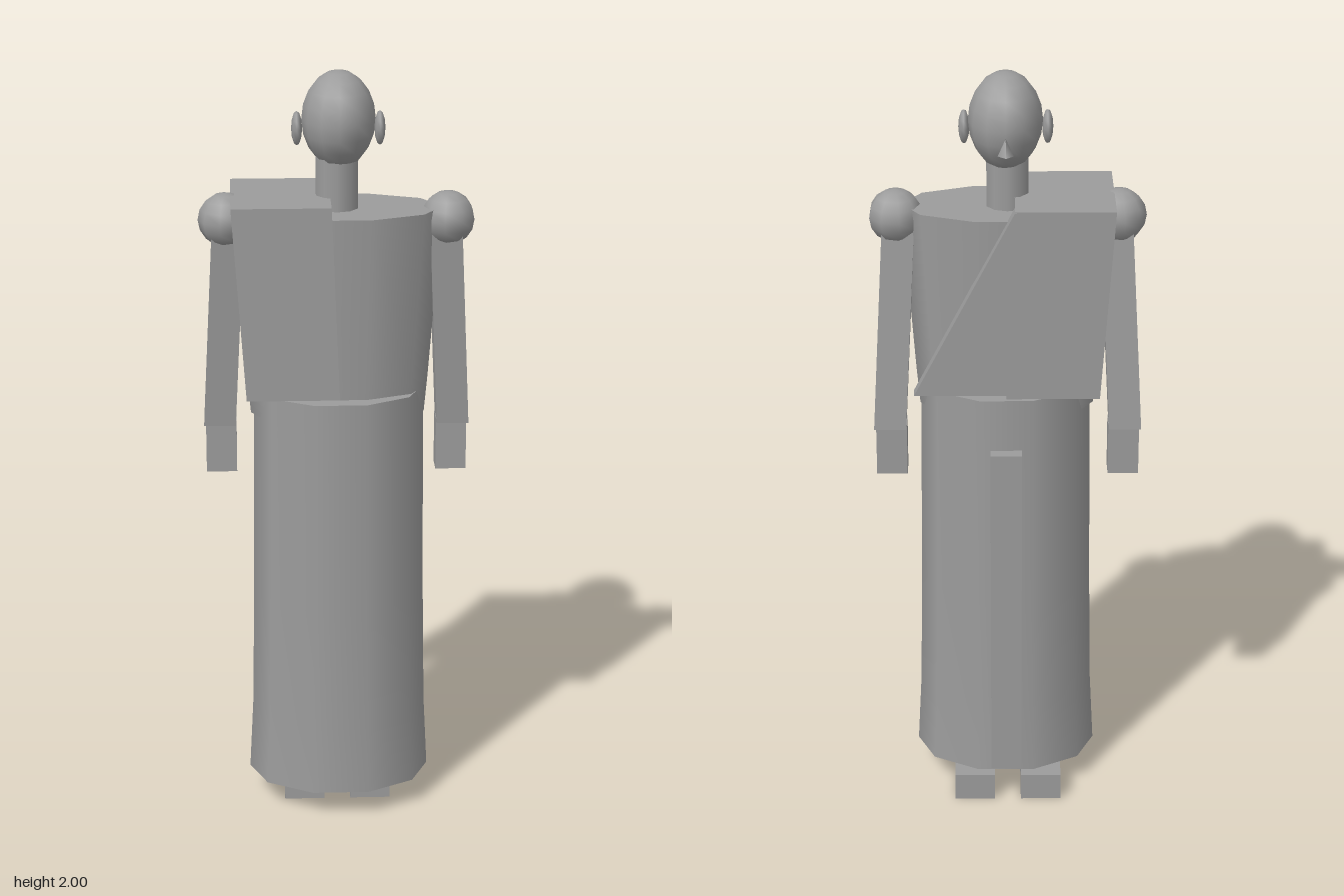
import * as THREE from 'three';

const grey = new THREE.MeshStandardMaterial({ color: 0x9c9c9c });
grey.name = 'plain grey';

function add(parent, name, geometry, x = 0, y = 0, z = 0) {
  const mesh = new THREE.Mesh(geometry, grey);
  mesh.name = name;
  mesh.position.set(x, y, z);
  parent.add(mesh);
  return mesh;
}

// Six-sided block between a bottom and a top rectangle, each [x0, x1, z0, z1]
function block(y0, y1, bottom, top = bottom) {
  const g = new THREE.BoxGeometry(1, 1, 1);
  const p = g.attributes.position;
  for (let i = 0; i < p.count; i++) {
    const r = p.getY(i) > 0 ? top : bottom;
    p.setXYZ(i,
      p.getX(i) > 0 ? r[1] : r[0],
      p.getY(i) > 0 ? y1 : y0,
      p.getZ(i) > 0 ? r[3] : r[2]);
  }
  g.computeVertexNormals();
  return g;
}

// Ten-sided oval shell from [radius, y] points, closed at both ends
function ovalShell(parent, name, profile, depth, x, z) {
  const group = new THREE.Group();
  group.name = name;
  group.position.set(x, 0, z);
  group.scale.z = depth;
  const points = profile.map(([r, y]) => new THREE.Vector2(r, y));
  add(group, name + 'Side', new THREE.LatheGeometry(points, 10, Math.PI / 2));
  const [r0, y0] = profile[0];
  const [r1, y1] = profile[profile.length - 1];
  add(group, name + 'Bottom', new THREE.CircleGeometry(r0, 10), 0, y0).rotation.x = Math.PI / 2;
  add(group, name + 'Top', new THREE.CircleGeometry(r1, 10), 0, y1).rotation.x = -Math.PI / 2;
  parent.add(group);
}

export function createModel() {
  const model = new THREE.Group();
  model.name = 'robedFigure';

  // Long skirt and bodice
  ovalShell(model, 'skirt', [[0.242, 0.075], [0.232, 0.27], [0.226, 0.6], [0.22, 1.17]], 0.745, 0.005, 0.016);
  ovalShell(model, 'bodice', [[0.226, 1.1], [0.235, 1.2], [0.268, 1.65]], 0.525, 0.002, 0.014);

  // Neck, head, ears and nose (the face looks towards -z)
  add(model, 'neck', new THREE.CylinderGeometry(0.056, 0.056, 0.17, 10), 0, 1.715, 0.012);
  add(model, 'head', new THREE.SphereGeometry(1, 12, 10), 0.005, 1.876, 0.003).scale.set(0.094, 0.124, 0.114);
  for (const side of [-1, 1]) {
    add(model, side > 0 ? 'leftEar' : 'rightEar', new THREE.SphereGeometry(1, 8, 6),
      0.004 + side * 0.105, 1.855, 0.013).scale.set(0.014, 0.044, 0.035);
  }
  add(model, 'nose', new THREE.ConeGeometry(0.02, 0.045, 4), 0.005, 1.84, -0.11);

  // Shoulder drape over the right side, with a sash slanting across the chest
  add(model, 'shoulderDrape', block(1.18, 1.685, [-0.235, 0.003, -0.15, 0.16], [-0.27, -0.018, -0.15, 0.16]));
  add(model, 'chestSash', block(1.19, 1.684, [0.003, 0.24, -0.151, -0.11], [-0.268, -0.018, -0.151, -0.11]));

  // Arms, hands and feet
  for (const side of [-1, 1]) {
    const label = side > 0 ? 'left' : 'right';
    const mirror = ([a, b, c, d]) => (side > 0 ? [a, b, c, d] : [-b, -a, c, d]);
    add(model, label + 'Shoulder', new THREE.SphereGeometry(0.07, 9, 8), side * 0.284, 1.62, 0.013);
    add(model, label + 'Arm', block(1.06, 1.61,
      mirror([0.264, 0.347, -0.076, 0.005]), mirror([0.236, 0.318, -0.026, 0.055])));
    add(model, label + 'Hand', block(0.93, 1.07, mirror([0.262, 0.342, -0.067, -0.003])));
    add(model, label + 'Foot', block(0, 0.075, mirror([0.035, 0.143, -0.185, 0.075])));
  }

  // Narrow hanging panel
  add(model, 'hangingPanel', block(0.1, 1.037, [-0.036, 0.045, -0.19, -0.155]));

  return model;
}
